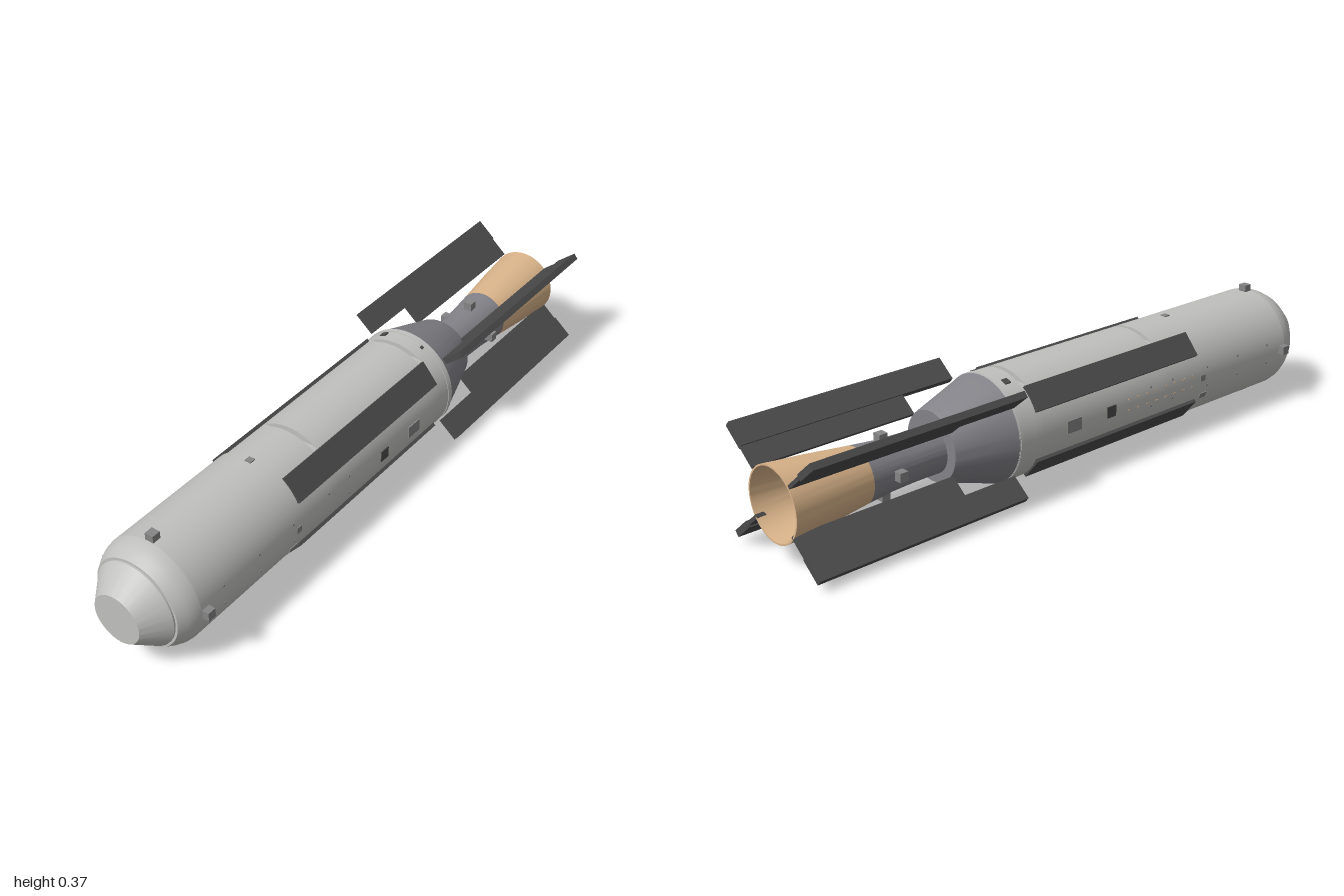
import * as THREE from 'three';
import { toCreasedNormals } from 'three/addons/utils/BufferGeometryUtils.js';

const AXIS_Y = 0.185;   // height of the body axis
const NOZZLE_Y = 0.177; // the engine hangs slightly lower
const R = 0.163;        // body radius
const SEG = 72;

function material(name, color, side = THREE.FrontSide) {
  const m = new THREE.MeshStandardMaterial({ color, side });
  m.name = name;
  return m;
}

export function createModel() {
  const lightGrey = material('light grey', 0xc0c0be);
  const midGrey = material('mid grey', 0x828288);
  const panelGrey = material('panel grey', 0x858585);
  const darkGrey = material('dark grey', 0x4b4b4b);
  const tan = material('tan', 0xdab48a, THREE.DoubleSide);

  const model = new THREE.Group();
  model.name = 'podVehicle';
  const body = new THREE.Group();
  body.name = 'body';
  body.position.y = AXIS_Y;
  const engine = new THREE.Group();
  engine.name = 'engine';
  engine.position.y = NOZZLE_Y;
  model.add(body, engine);

  function add(parent, name, geometry, mat) {
    const mesh = new THREE.Mesh(geometry, mat);
    mesh.name = name;
    parent.add(mesh);
    return mesh;
  }

  // Surface of revolution about x from [x, radius] pairs
  function turned(parent, name, profile, mat) {
    const points = profile.map(([x, r]) => new THREE.Vector2(r, x));
    const g = new THREE.LatheGeometry(points, SEG).rotateZ(-Math.PI / 2);
    return add(parent, name, toCreasedNormals(g, 0.25), mat);
  }

  // Box at a radius and angle round the x axis (0 = front, 90 = top)
  function radialBox(parent, name, x, r, degrees, [length, width, depth], mat) {
    const g = new THREE.BoxGeometry(length, width, depth);
    g.translate(x, 0, r).rotateX(-THREE.MathUtils.degToRad(degrees));
    return add(parent, name, g, mat);
  }

  // Nose: truncated cone, then the rounded shoulder
  turned(body, 'noseCone', [[-1, 0], [-1, 0.076], [-0.93, 0.131], [-0.92, 0.131]], lightGrey);
  turned(body, 'shoulder', [[-0.925, 0], [-0.925, 0.138], [-0.9, 0.152], [-0.88, 0.16], [-0.86, R]], lightGrey);

  // Main barrel, with two flat-bottomed slots across its top
  const cuts = [-0.86, -0.298, -0.282, 0.217, 0.233, 0.303];
  for (let i = 0; i < cuts.length - 1; i++) {
    const length = cuts[i + 1] - cuts[i];
    const g = new THREE.CylinderGeometry(R, R, length, SEG);
    g.rotateZ(-Math.PI / 2).translate((cuts[i] + cuts[i + 1]) / 2, 0, 0);
    const slot = i % 2 === 1;
    if (slot) {
      const p = g.attributes.position;
      for (let k = 0; k < p.count; k++) p.setY(k, Math.min(p.getY(k), 0.137));
    }
    add(body, slot ? 'slotSection' : 'barrelSection', toCreasedNormals(g, 0.25), lightGrey);
  }
  turned(body, 'rearBand', [[0.283, R], [0.283, R + 0.0015], [0.3, R + 0.0015], [0.3, R]], lightGrey);

  // Tapered tail
  turned(body, 'tailCone', [[0.3, R], [0.48, 0.107], [0.486, 0.104], [0.486, 0]], midGrey);

  // Four strakes and four two-step fins in an X
  for (const angle of [40, 140, 220, 320]) {
    radialBox(body, 'strake', -0.105, 0.162, angle, [0.67, 0.081, 0.012], darkGrey);
    radialBox(body, 'finOuter', 0.651, 0.2085, angle, [0.698, 0.02, 0.075], darkGrey);
    radialBox(body, 'finInner', 0.74, 0.141, angle, [0.52, 0.011, 0.07], darkGrey);
  }

  // Thruster blocks round the nose and the engine neck
  for (const angle of [0, 90, 180, 270]) {
    radialBox(body, 'noseThruster', -0.845, 0.17, angle, [0.027, 0.027, 0.028], panelGrey);
    radialBox(engine, 'neckThruster', 0.655, 0.083, angle, [0.027, 0.027, 0.03], panelGrey);
  }

  // Engine neck and hollow nozzle
  turned(engine, 'engineNeck', [[0.47, 0.07], [0.57, 0.07], [0.65, 0.073], [0.74, 0.082], [0.742, 0]], midGrey);
  turned(engine, 'nozzle', [[0.74, 0.082], [0.87, 0.097], [1, 0.109], [1, 0.104], [0.87, 0.09], [0.743, 0.073]], tan);

  // Side panels and rivet rows, the same on front and back
  for (const [side, sign] of [[0, 1], [180, -1]]) {
    radialBox(body, 'darkHatch', -0.055, R, side, [0.035, 0.034, 0.006], darkGrey);
    radialBox(body, 'greyHatch', 0.095, R, side, [0.055, 0.038, 0.006], panelGrey);
    radialBox(body, 'smallHatch', -0.458, R, side, [0.02, 0.02, 0.005], panelGrey);
    radialBox(body, 'lowerHatch', -0.473, R, side - sign * 23, [0.03, 0.02, 0.005], panelGrey);
    for (const x of [-0.77, -0.625, -0.48, -0.32, -0.225]) {
      for (const a of [-10.5, 10.5]) {
        radialBox(body, 'rivet', x, R, side + a, [0.006, 0.006, 0.004], panelGrey);
      }
    }
  }
  for (let i = 0; i < 8; i++) {
    for (const a of [174, 186]) {
      radialBox(body, 'tanMark', -0.13 - i * 0.04, R, a, [0.009, 0.003, 0.003], tan);
    }
  }

  // Small fittings on top, round the rear and under the belly
  radialBox(body, 'topFitting', -0.458, R, 90, [0.02, 0.02, 0.006], panelGrey);
  for (const a of [113, 293]) radialBox(body, 'rearPort', 0.265, R, a, [0.02, 0.02, 0.006], darkGrey);
  for (const a of [66, 246]) radialBox(body, 'rearPin', 0.275, R, a, [0.01, 0.01, 0.006], darkGrey);
  const turret = new THREE.CylinderGeometry(0.029, 0.029, 0.03, 32).translate(-0.372, -0.159, 0);
  add(body, 'bellyDisc', turret, lightGrey);
  radialBox(body, 'bellyFitting', -0.43, R, 258, [0.016, 0.016, 0.01], panelGrey);

  return model;
}
